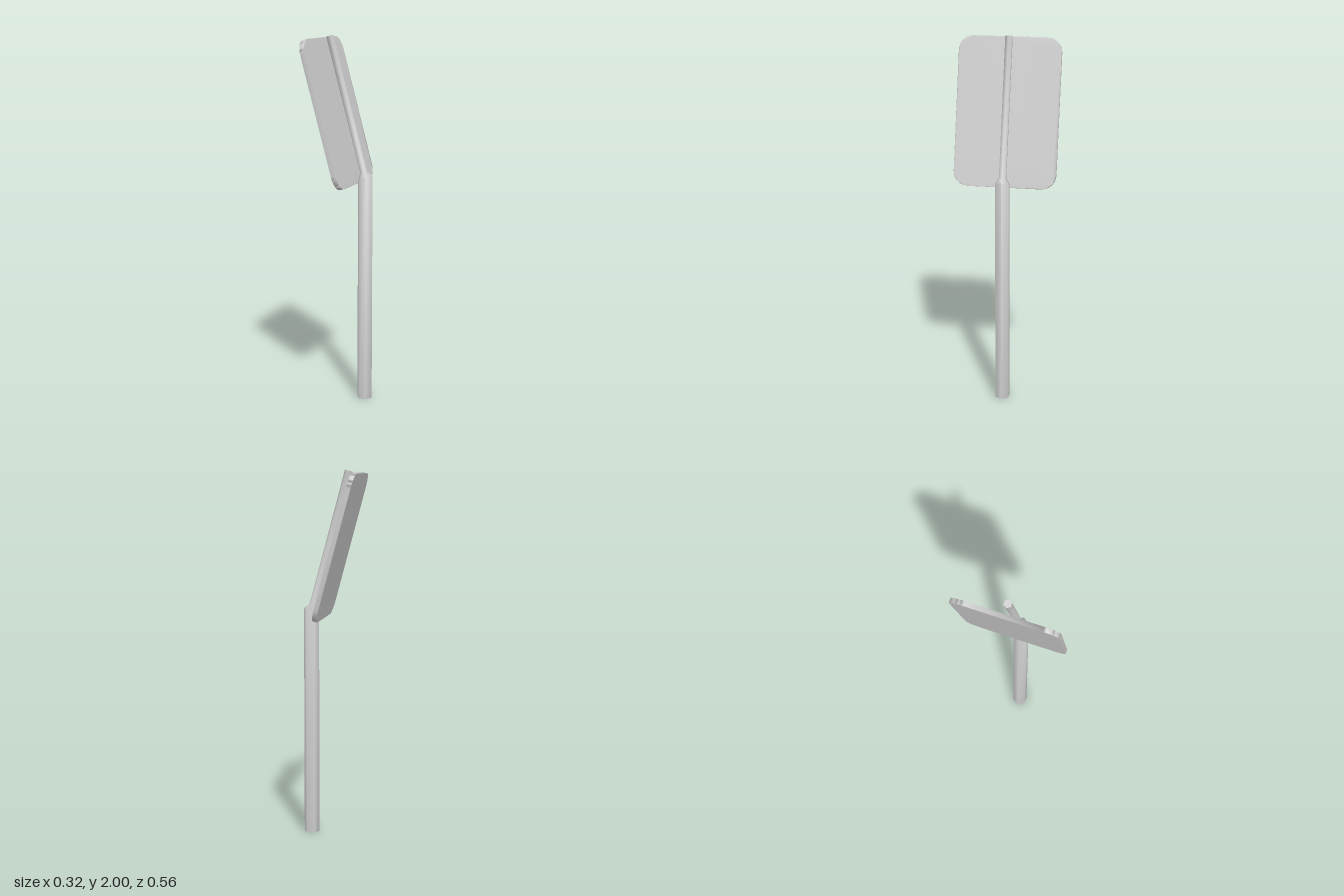
import * as THREE from 'three';
import { mergeVertices, toCreasedNormals } from 'three/addons/utils/BufferGeometryUtils.js';

const SIDES = 6;

// Hexagonal tube through rings, each given by its left and right points and half-width
function createPole(material) {
  const rings = [
    { left: [0.074, 0], right: [0.158, 0], r: 0.042 },
    { left: [0.074, 1.22], right: [0.158, 1.253], r: 0.042 },
    { left: [0.088, 1.264], right: [0.127, 1.274], r: 0.021 },
    { left: [-0.108, 1.989], right: [-0.067, 2.0], r: 0.021 },
  ];
  const positions = [];
  const index = [];
  rings.forEach(({ left, right, r }, k) => {
    for (let i = 0; i < SIDES; i++) {
      const a = (i / SIDES) * Math.PI * 2;
      const t = (Math.cos(a) + 1) / 2;
      positions.push(
        THREE.MathUtils.lerp(left[0], right[0], t),
        THREE.MathUtils.lerp(left[1], right[1], t),
        Math.sin(a) * r
      );
      if (k === rings.length - 1) continue;
      const lo = k * SIDES + i;
      const loNext = k * SIDES + ((i + 1) % SIDES);
      index.push(lo, lo + SIDES, loNext, lo + SIDES, loNext + SIDES, loNext);
    }
  });
  // End caps
  const top = (rings.length - 1) * SIDES;
  for (let i = 1; i < SIDES - 1; i++) {
    index.push(0, i, i + 1, top, top + i + 1, top + i);
  }
  const geometry = new THREE.BufferGeometry();
  geometry.setAttribute('position', new THREE.Float32BufferAttribute(positions, 3));
  geometry.setIndex(index);
  const pole = new THREE.Mesh(toCreasedNormals(geometry, THREE.MathUtils.degToRad(75)), material);
  pole.name = 'pole';
  return pole;
}

// Thin rounded plate: soft shading over the front and rim, flat back
function createPanel(material) {
  const w = 0.278, h = 0.807, r = 0.08, depth = 0.025;
  const shape = new THREE.Shape();
  shape.absarc(w - r, r, r, -Math.PI / 2, 0);
  shape.absarc(w - r, h - r, r, 0, Math.PI / 2);
  shape.absarc(-w + r, h - r, r, Math.PI / 2, Math.PI);
  shape.absarc(-w + r, r, r, Math.PI, Math.PI * 1.5);
  shape.closePath();

  let geometry = new THREE.ExtrudeGeometry(shape, { depth, bevelEnabled: false, curveSegments: 5 });
  geometry.deleteAttribute('normal');
  geometry.deleteAttribute('uv');
  geometry = mergeVertices(geometry);
  geometry.computeVertexNormals();
  geometry = geometry.toNonIndexed();
  geometry.clearGroups();
  const { position, normal } = geometry.attributes;
  for (let i = 0; i < position.count; i += 3) {
    const corners = [i, i + 1, i + 2];
    if (corners.every((j) => position.getZ(j) < 1e-5)) {
      corners.forEach((j) => normal.setXYZ(j, 0, 0, -1));
    }
  }
  // Turn the front face to +x, then lean it back
  geometry.rotateY(Math.PI / 2);
  geometry.rotateZ(THREE.MathUtils.degToRad(15));
  const panel = new THREE.Mesh(geometry, material);
  panel.position.set(0.048, 1.199, 0);
  panel.name = 'panel';
  return panel;
}

export function createModel() {
  const material = new THREE.MeshStandardMaterial({ color: 0xcccccc });
  const group = new THREE.Group();
  group.name = 'panelOnPole';
  group.add(createPole(material), createPanel(material));
  return group;
}
